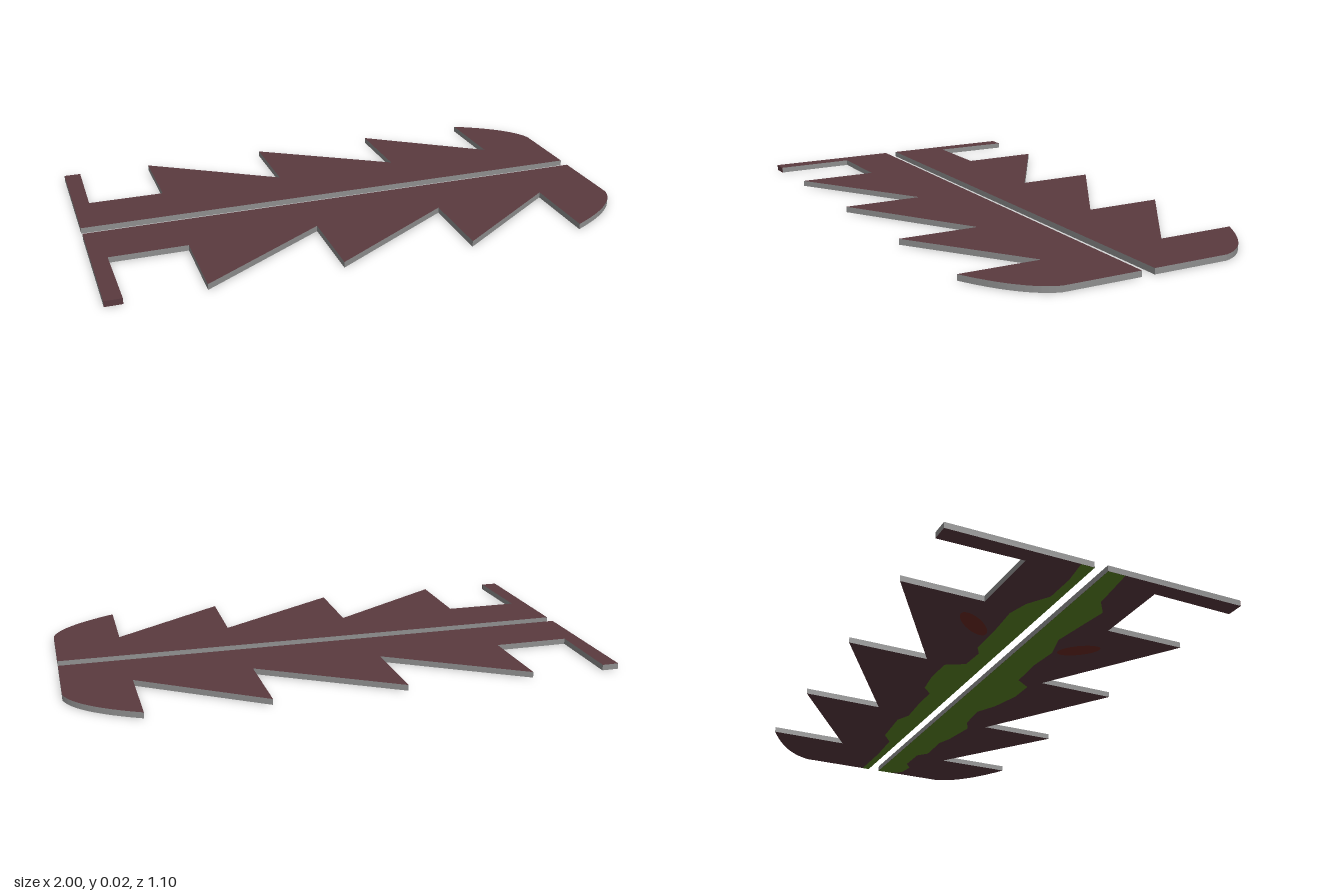
import * as THREE from 'three';

const TOP = 0.022, BASE = 0.0005;
const INNER = 0.025, NOTCH = 0.243, TIP = 0.55;
const POST_TIP = -0.937;

const maroon = new THREE.MeshStandardMaterial({ name: 'maroonPaint', color: 0x5a3a3f });
const grey = new THREE.MeshStandardMaterial({ name: 'greyEdge', color: 0x8e8e8e });
const green = new THREE.MeshStandardMaterial({ name: 'mossGreen', color: 0x5c8424 });
const red = new THREE.MeshStandardMaterial({ name: 'rustRed', color: 0x6c2a24 });

// Outline of one half: post, three saw teeth and a rounded end
function plateShape(s) {
  const shape = new THREE.Shape();
  shape.moveTo(-1, s * INNER);
  shape.lineTo(-1, s * TIP);
  shape.lineTo(POST_TIP, s * TIP);
  shape.lineTo(-0.941, s * NOTCH);
  // Each tooth: notch x, tip x
  const teeth = [[-0.655, -0.657], [-0.175, -0.177], [0.314, 0.311], [0.75, 0.748]];
  for (const [notch, tip] of teeth) {
    shape.lineTo(notch, s * NOTCH);
    shape.lineTo(tip, s * TIP);
  }
  shape.quadraticCurveTo(0.97, s * 0.44, 1, s * 0.32);
  shape.lineTo(1, s * INNER);
  shape.closePath();
  return shape;
}

// Irregular stain along the inner edge, given as outer [x, distance] points
function stainShape(s, edge) {
  return new THREE.Shape([[1, INNER], ...edge, [-1, INNER]].map(([x, z]) => new THREE.Vector2(x, s * z)));
}

// Flat patch facing down on the underside
function underPatch(name, shape, material) {
  const mesh = new THREE.Mesh(new THREE.ShapeGeometry(shape).rotateX(Math.PI / 2), material);
  mesh.name = name;
  return mesh;
}

const STAINS = {
  front: [[1, 0.09], [0.97, 0.13], [0.9, 0.14], [0.86, 0.11], [0.74, 0.11], [0.7, 0.145], [0.56, 0.14], [0.5, 0.16],
    [0.36, 0.18], [0.3, 0.15], [0.18, 0.14], [0.1, 0.18], [-0.02, 0.21], [-0.12, 0.21], [-0.16, 0.15], [-0.3, 0.14],
    [-0.42, 0.15], [-0.52, 0.12], [-0.66, 0.14], [-0.76, 0.155], [-0.82, 0.11], [-1, 0.09]],
  back: [[1, 0.055], [0.8, 0.055], [0.64, 0.065], [0.58, 0.11], [0.4, 0.125], [0.34, 0.1], [0.2, 0.11], [0.1, 0.11],
    [0.06, 0.15], [-0.04, 0.165], [-0.16, 0.165], [-0.2, 0.095], [-0.3, 0.09], [-0.34, 0.115], [-0.5, 0.12],
    [-0.62, 0.13], [-0.7, 0.11], [-0.78, 0.06], [-0.9, 0.06], [-1, 0.075]],
};

// Rust spots as x, z, half length, half width, angle
const SPOTS = {
  front: [-0.478, 0.228, 0.08, 0.036, 2.25],
  back: [-0.497, -0.207, 0.092, 0.034, 0.86],
};

export function createModel() {
  const group = new THREE.Group();
  group.name = 'toothedPlates';

  for (const [side, s] of [['front', 1], ['back', -1]]) {
    // Plate with painted faces and bare edges
    const geo = new THREE.ExtrudeGeometry(plateShape(s), { depth: TOP - BASE, bevelEnabled: false, curveSegments: 12 });
    geo.rotateX(Math.PI / 2).translate(0, TOP, 0);
    const plate = new THREE.Mesh(geo, [maroon, grey]);
    plate.name = side + 'Plate';
    group.add(plate);

    // Stains underneath
    group.add(underPatch(side + 'GreenStain', stainShape(s, STAINS[side]), green));
    const [x, z, length, width, angle] = SPOTS[side];
    const spot = new THREE.Shape().absellipse(x, z, length, width, 0, Math.PI * 2, false, angle);
    group.add(underPatch(side + 'RedSpot', spot, red));
  }

  // Painted end of the front post
  const cap = new THREE.Mesh(new THREE.BoxGeometry(POST_TIP + 1, TOP - BASE, 0.002), maroon);
  cap.name = 'postEnd';
  cap.position.set((POST_TIP - 1) / 2, (TOP + BASE) / 2, TIP);
  group.add(cap);

  return group;
}
